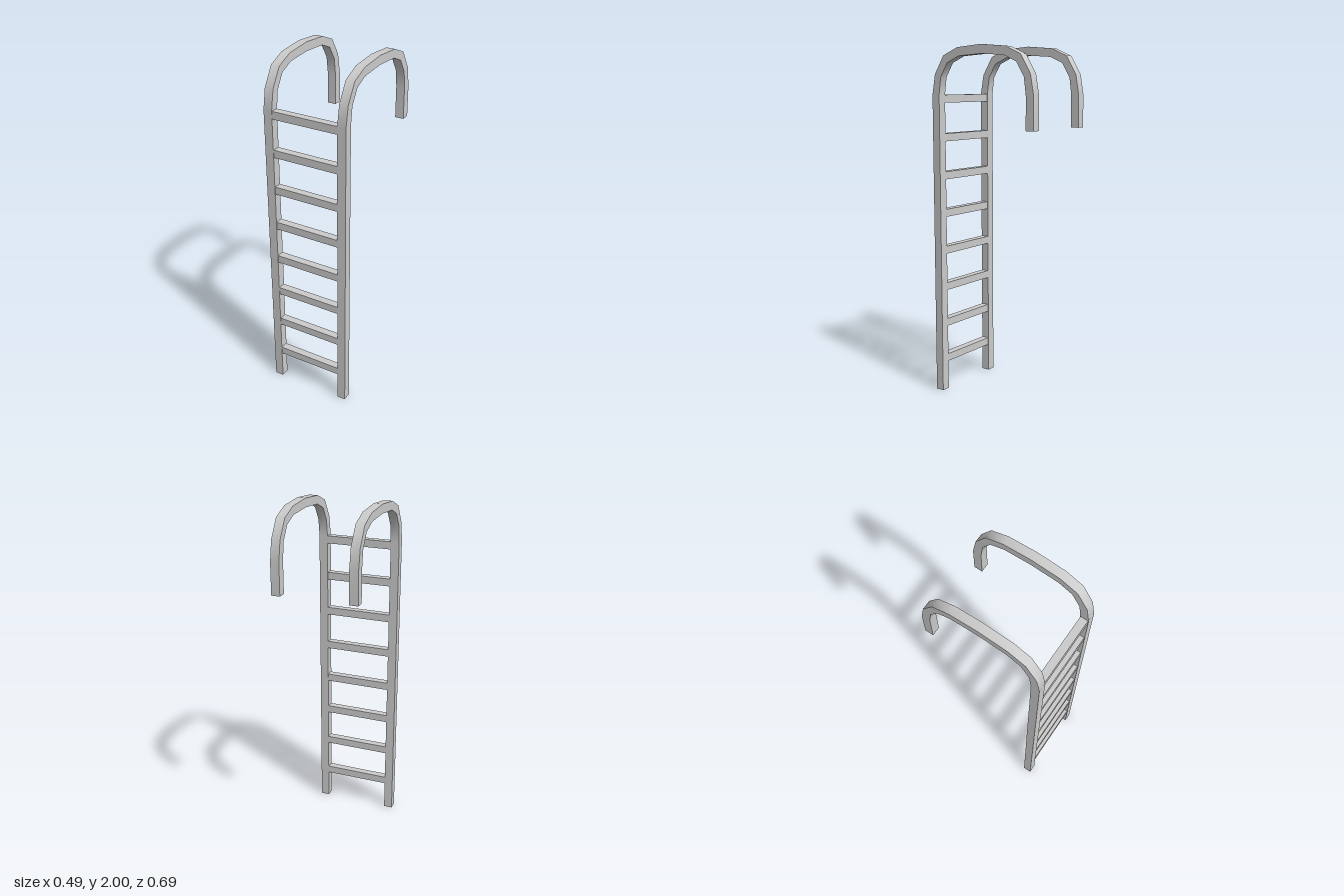
import * as THREE from 'three';

const material = new THREE.MeshStandardMaterial({ color: 0xcccccc, side: THREE.DoubleSide });

// Half of the rail's side profile, from foot to crown: [outer z, outer y, inner z, inner y]
const RISE = [
  [0.345, 1.73, 0.296, 1.73],
  [0.325, 1.842, 0.283, 1.827],
  [0.262, 1.945, 0.235, 1.905],
  [0.162, 1.987, 0.155, 1.94],
];

// Square hollow rail bent over the top: four strips with sharp long edges, smooth along the bend
function railGeometry(width) {
  const profile = [
    [0.345, 0, 0.296, 0],
    ...RISE,
    [0, 2, 0, 1.95],
    ...RISE.map(([oz, oy, iz, iy]) => [-oz, oy, -iz, iy]).reverse(),
    [-0.345, 1.55, -0.296, 1.55],
  ];
  const h = width / 2;
  const rings = profile.map(([oz, oy, iz, iy]) => [
    [-h, oy, oz], [h, oy, oz], [h, iy, iz], [-h, iy, iz],
  ]);
  const positions = [];
  const indices = [];
  for (let side = 0; side < 4; side++) {
    const start = positions.length / 3;
    rings.forEach((ring, i) => {
      positions.push(...ring[side], ...ring[(side + 1) % 4]);
      if (i === 0) return;
      const b = start + i * 2;
      const a = b - 2;
      indices.push(a, a + 1, b + 1, a, b + 1, b);
    });
  }
  const geometry = new THREE.BufferGeometry();
  geometry.setAttribute('position', new THREE.Float32BufferAttribute(positions, 3));
  geometry.setIndex(indices);
  geometry.computeVertexNormals();
  return geometry;
}

export function createModel() {
  const ladder = new THREE.Group();
  ladder.name = 'ladder';

  // Side rails with hooked handles
  const railShape = railGeometry(0.05);
  for (const [name, x] of [['leftRail', 0.218], ['rightRail', -0.218]]) {
    const rail = new THREE.Mesh(railShape, material);
    rail.name = name;
    rail.position.x = x;
    ladder.add(rail);
  }

  // Eight evenly spaced rungs
  const rungShape = new THREE.BoxGeometry(0.388, 0.044, 0.044);
  for (let i = 0; i < 8; i++) {
    const rung = new THREE.Mesh(rungShape, material);
    rung.name = `rung${i + 1}`;
    rung.position.set(0, 0.189 + i * 0.217, 0.32);
    ladder.add(rung);
  }
  return ladder;
}
